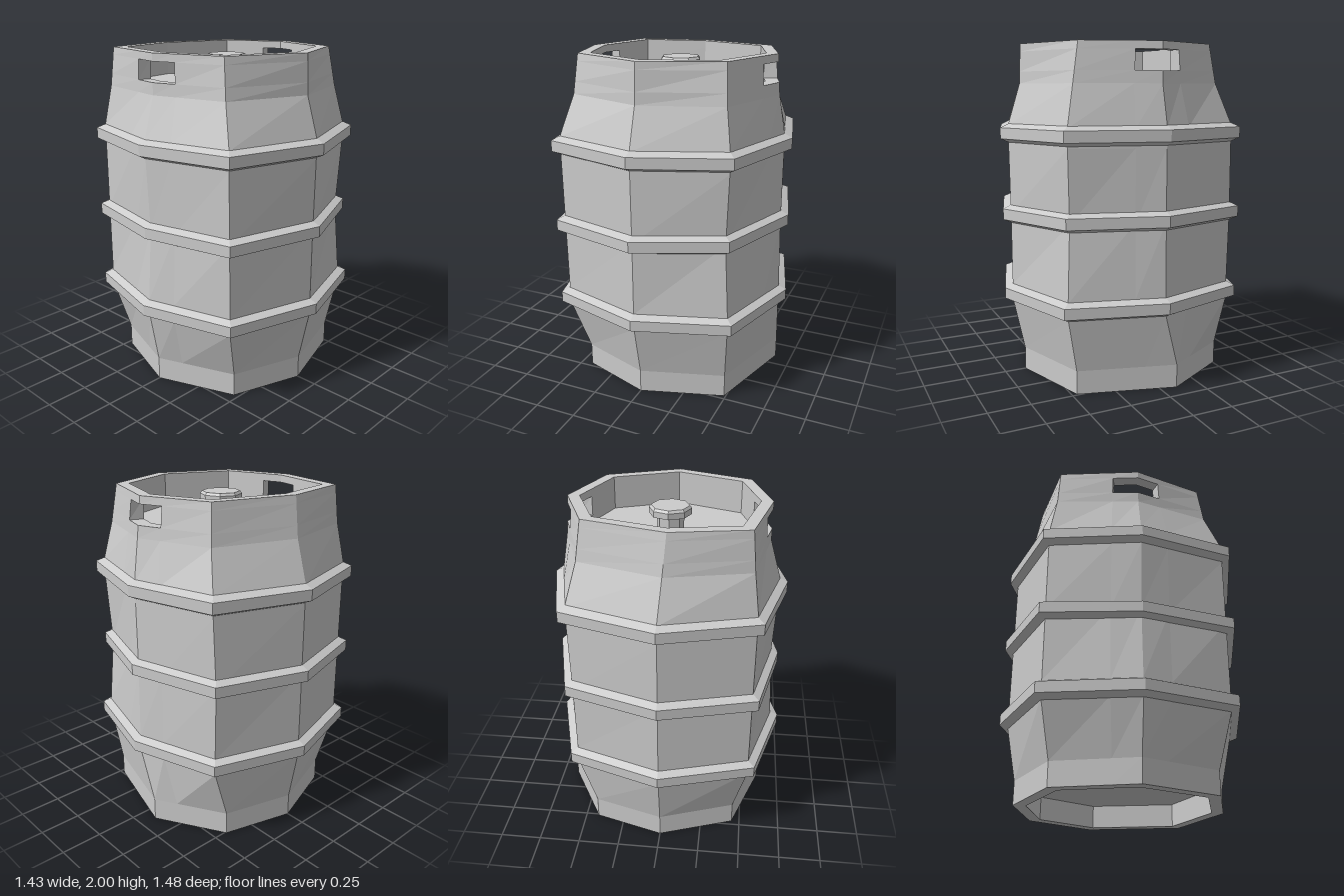
import * as THREE from 'three';

const material = new THREE.MeshStandardMaterial({ color: 0xcccccc, flatShading: true });

// Eight-cornered cross-sections as x, z pairs, starting at the front and going towards +x
const FOOT = [0, .62, .49, .47, .65, -.10, .42, -.51, 0, -.63, -.45, -.47, -.61, 0, -.43, .47];
const LOWER = [0, .69, .52, .53, .67, -.01, .52, -.52, 0, -.69, -.53, -.53, -.67, 0, -.53, .53];
const WAIST = [0, .69, .49, .505, .66, -.01, .52, -.53, 0, -.69, -.53, -.53, -.64, 0, -.535, .53];
const UPPER = [0, .695, .51, .52, .66, -.01, .53, -.52, 0, -.69, -.53, -.53, -.66, 0, -.54, .53];
const SHOULDER = [0, .62, .47, .47, .62, 0, .47, -.44, -.02, -.60, -.50, -.49, -.59, 0, -.48, .45];
const RIM = [0, .61, .45, .43, .60, -.01, .44, -.41, -.04, -.557, -.48, -.475, -.588, 0, -.46, .42];

const WALL = 0.88;   // inner size relative to outer
const HOLE = 0.32;   // half-width of a hand hole as a share of one side

// Ring of 12 points: the eight corners plus the hole edges either side of the +x and -x corners
function ring(section, y, scale = 1, tilt = 0) {
  const corner = (i) => {
    const k = (i % 8) * 2;
    const x = section[k] * scale;
    return new THREE.Vector3(x, y + tilt * x, section[k + 1] * scale);
  };
  const points = [];
  for (let i = 0; i < 8; i++) {
    const c = corner(i);
    if (i === 2 || i === 6) {
      points.push(c.clone().lerp(corner(i - 1), HOLE), c, c.clone().lerp(corner(i + 1), HOLE));
    } else points.push(c);
  }
  return points;
}

const between = (a, b, t) => a.map((p, i) => p.clone().lerp(b[i], t));

// Collects quads and fans, then turns them into a flat-shaded mesh
class Surface {
  constructor() { this.points = []; }
  quad(a, b, c, d) { this.points.push(a, b, c, a, c, d); }
  loft(rings, isOpen = () => false) {
    for (let r = 0; r < rings.length - 1; r++) {
      const lo = rings[r], up = rings[r + 1];
      for (let i = 0; i < lo.length; i++) {
        const j = (i + 1) % lo.length;
        if (!isOpen(r, i)) this.quad(lo[i], lo[j], up[j], up[i]);
      }
    }
  }
  cap(points, facesUp) {
    const centre = new THREE.Vector3(0, points[0].y, 0);
    points.forEach((p, i) => {
      const q = points[(i + 1) % points.length];
      this.points.push(centre, ...(facesUp ? [p, q] : [q, p]));
    });
  }
  mesh(name) {
    const geometry = new THREE.BufferGeometry().setFromPoints(this.points);
    geometry.computeVertexNormals();
    const mesh = new THREE.Mesh(geometry, material);
    mesh.name = name;
    return mesh;
  }
}

// Barrel wall, recessed base, rim and recessed lid in one skin
function makeBody() {
  const shoulder = ring(SHOULDER, 1.77), rim = ring(RIM, 2);
  const heightShare = (y) => (y - 1.77) / 0.23;
  const outerLow = between(shoulder, rim, heightShare(1.84));
  const outerHigh = between(shoulder, rim, heightShare(1.955));
  const innerHigh = ring(RIM, 1.955, WALL), innerLow = ring(RIM, 1.84, WALL);
  const rings = [
    ring(FOOT, 0.14, WALL), ring(FOOT, 0, WALL), ring(FOOT, 0), ring(FOOT, 0.14),
    ring(LOWER, 0.46), ring(LOWER, 0.56), ring(WAIST, 1.0), ring(UPPER, 1.42), ring(UPPER, 1.53),
    shoulder, outerLow, outerHigh, rim,
    ring(RIM, 2, WALL), innerHigh, innerLow, ring(RIM, 1.8, WALL),
  ];
  const openRows = [rings.indexOf(outerLow), rings.indexOf(innerHigh)];
  const openColumns = [2, 3, 8, 9];
  const body = new Surface();
  body.loft(rings, (r, i) => openRows.includes(r) && openColumns.includes(i));
  body.cap(rings[0], false);
  body.cap(rings[rings.length - 1], true);

  // Lining of the two hand holes
  for (const i of openColumns) {
    body.quad(outerLow[i], outerLow[i + 1], innerLow[i + 1], innerLow[i]);
    body.quad(innerHigh[i], innerHigh[i + 1], outerHigh[i + 1], outerHigh[i]);
  }
  for (const i of [2, 8]) {
    const e = i + 2;
    body.quad(outerLow[i], innerLow[i], innerHigh[i], outerHigh[i]);
    body.quad(innerLow[e], outerLow[e], outerHigh[e], innerHigh[e]);
  }
  return body.mesh('barrelBody');
}

// Raised hoop with bevelled edges
function makeHoop(name, section, y, tilt) {
  const hoop = new Surface();
  hoop.loft([[-.055, .99], [-.03, 1.07], [.035, 1.07], [.06, .99]]
    .map(([dy, scale]) => ring(section, y + dy, scale, tilt)));
  return hoop.mesh(name);
}

// Valve knob in the middle of the lid
function makeValve() {
  const profile = [[.08, 1.8], [.08, 1.91], [.125, 1.91], [.125, 1.945], [.113, 1.96], [0, 1.96]]
    .map(([r, y]) => new THREE.Vector2(r, y));
  const valve = new THREE.Mesh(new THREE.LatheGeometry(profile, 8), material);
  valve.name = 'valve';
  return valve;
}

export function createModel() {
  const model = new THREE.Group();
  model.name = 'keg';
  model.add(
    makeBody(),
    makeHoop('lowerHoop', LOWER, 0.505, 0.005),
    makeHoop('middleHoop', WAIST, 0.995, 0.02),
    makeHoop('upperHoop', UPPER, 1.48, 0.008),
    makeValve(),
  );
  return model;
}
